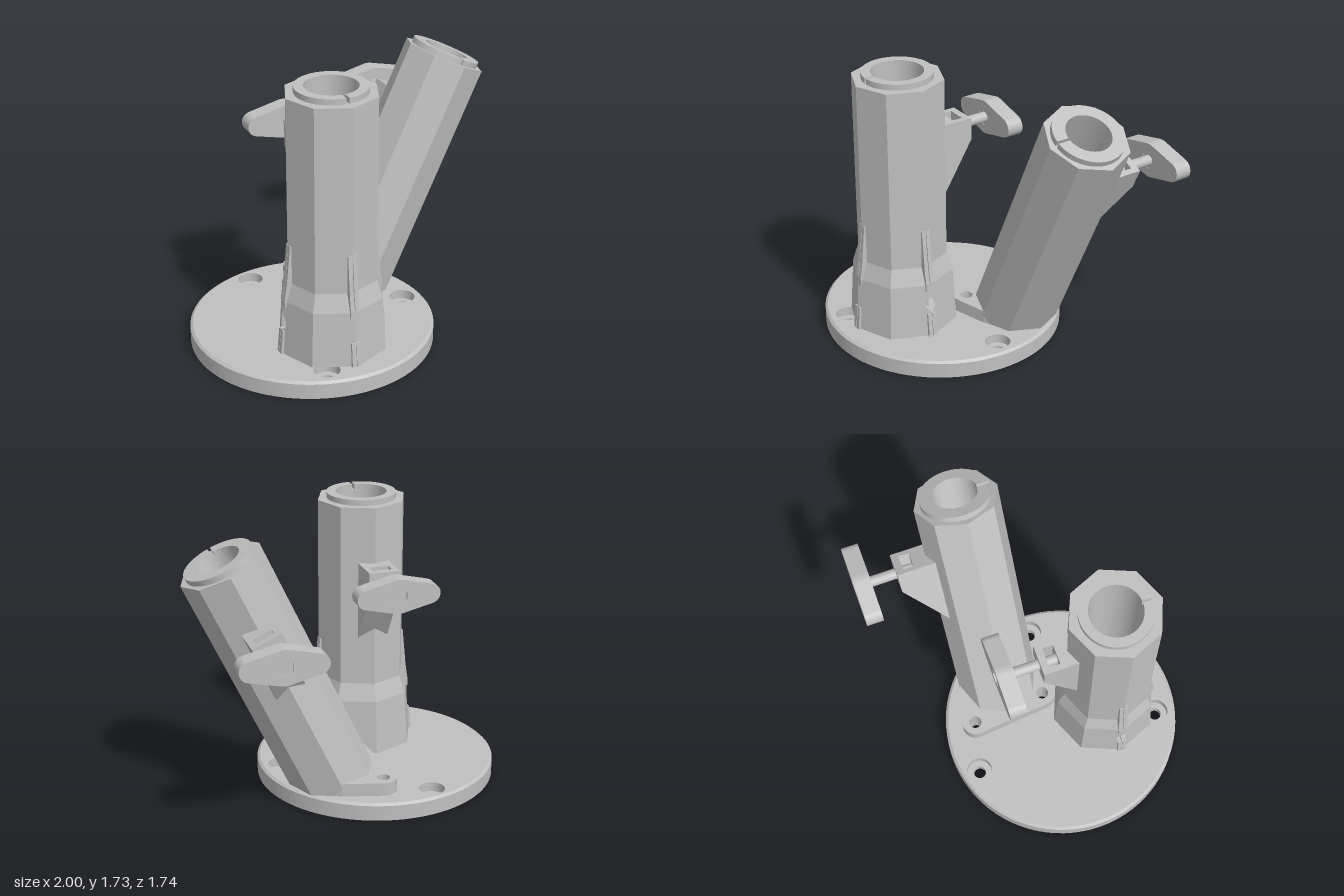
import * as THREE from 'three';

const TILT = THREE.MathUtils.degToRad(25);
const LEN = 1.582; // tube length above the base plate
const PI = Math.PI;

const plastic = new THREE.MeshStandardMaterial({ color: 0xc0c0c0, side: THREE.DoubleSide });
plastic.name = 'light grey plastic';

function add(parent, name, geometry) {
  const mesh = new THREE.Mesh(geometry, plastic);
  mesh.name = name;
  parent.add(mesh);
  return mesh;
}

function points(list) {
  return list.map(p => new THREE.Vector2(...p));
}

function circle(x, z, r) {
  return new THREE.Shape().absarc(x, z, r, 0, 2 * PI, false);
}

// Horizontal slab from an (x, z) outline, hanging down from y = top
function slab(shape, top, depth) {
  const g = new THREE.ExtrudeGeometry(shape, { depth, bevelEnabled: false, curveSegments: 40 });
  return g.rotateX(PI / 2).translate(0, top, 0);
}

// Slants the bottom rim (y = 0) so a tilted tube stands flat
function cutFoot(geometry, tilt) {
  const p = geometry.attributes.position;
  for (let i = 0; i < p.count; i++) {
    if (Math.abs(p.getY(i)) < 1e-5) p.setY(i, p.getX(i) * Math.tan(tilt));
  }
  geometry.computeVertexNormals();
  return geometry;
}

// One flat side of the octagon between two heights, optionally with half a drop cut from an edge
function panel(i, [r0, y0], [r1, y1], drop) {
  const half = [[0, 0.155], [0.09, 0.162], [0.15, 0.19], [0.13, 0.215], [0.06, 0.242], [0, 0.262]];
  const pts = [[0, y0], [1, y0]];
  if (drop && (i + 1) % 4 === 2) half.forEach(([u, y]) => pts.push([1 - u, y]));
  pts.push([1, y1], [0, y1]);
  if (drop && i % 4 === 2) [...half].reverse().forEach(p => pts.push(p));
  const g = new THREE.ShapeGeometry(new THREE.Shape(points(pts)));
  const a = i * PI / 4, b = a + PI / 4, pos = g.attributes.position;
  for (let k = 0; k < pos.count; k++) {
    const u = pos.getX(k), y = pos.getY(k);
    const r = r0 + (r1 - r0) * (y - y0) / (y1 - y0);
    pos.setXYZ(k, r * (Math.sin(a) * (1 - u) + Math.sin(b) * u), y,
      r * (Math.cos(a) * (1 - u) + Math.cos(b) * u));
  }
  g.computeVertexNormals();
  return g;
}

// Octagonal tube with a bore and a split collar on top
function tube(name, levels, bore, tilt, drop) {
  const group = new THREE.Group();
  group.name = name;
  for (let l = 0; l < levels.length - 1; l++) {
    for (let i = 0; i < 8; i++) {
      add(group, 'tubeSide', cutFoot(panel(i, levels[l], levels[l + 1], drop && l === 0), tilt));
    }
  }
  // Top face
  const R = levels[levels.length - 1][0];
  const octagon = new THREE.Shape(points(Array.from({ length: 8 }, (_, i) =>
    [R * Math.cos(i * PI / 4), R * Math.sin(i * PI / 4)])));
  octagon.holes.push(circle(0, 0, bore));
  add(group, 'tubeTop', slab(octagon, LEN, 0.01));
  // Collar, split towards +z
  const gap = 0.04;
  const collar = new THREE.Shape();
  collar.absarc(0, 0, 0.212, PI / 2 + gap, PI * 2.5 - gap, false);
  collar.absarc(0, 0, bore, PI * 2.5 - gap * 1.4, PI / 2 + gap * 1.4, true);
  add(group, 'splitCollar', slab(collar, LEN + 0.035, 0.035));
  // Bore wall, open at the sides where the drops pass through
  const low = drop ? 0.265 : 0;
  const wall = new THREE.CylinderGeometry(bore, bore, LEN - low, 40, 1, true).translate(0, (LEN + low) / 2, 0);
  add(group, 'bore', cutFoot(wall, tilt));
  if (drop) {
    for (const start of [-PI / 2, PI / 2]) {
      add(group, 'boreFoot', new THREE.CylinderGeometry(bore, bore, low, 20, 1, true, start + 0.24, PI - 0.48)
        .translate(0, low / 2, 0));
    }
  }
  return group;
}

// Clamp block with nut pocket, bolt and wing knob on the back of a tube
function clamp(tilt, wedgeDrop) {
  const group = new THREE.Group();
  group.name = 'clamp';
  group.position.y = 1.17;
  const top = new THREE.Shape(points([[-0.095, -0.2], [0.095, -0.2], [0.095, -0.448], [-0.095, -0.448]]));
  top.holes.push(new THREE.Path(points([[-0.06, -0.34], [0.06, -0.34], [0.06, -0.405], [-0.06, -0.405]])));
  add(group, 'clampBlock', slab(top, 0.067, 0.137));
  const wedge = new THREE.Shape(points([[0.2, -0.07], [0.448, -0.07], [0.2, -wedgeDrop]]));
  add(group, 'clampWedge', new THREE.ExtrudeGeometry(wedge, { depth: 0.19, bevelEnabled: false })
    .rotateY(PI / 2).translate(-0.095, 0, 0));
  add(group, 'bolt', new THREE.CylinderGeometry(0.032, 0.032, 0.4, 24).rotateX(PI / 2).translate(0, 0, -0.43));
  // Wing knob stays level, with a bolt head sunk in a hexagonal socket
  const f = 1.338, s = new THREE.Shape();
  s.absarc(0.195, 0, 0.06, -f, f, false);
  s.absarc(0, 0, 0.105, f, PI - f, false);
  s.absarc(-0.195, 0, 0.06, PI - f, PI + f, false);
  s.absarc(0, 0, 0.105, PI + f, 2 * PI - f, false);
  s.holes.push(new THREE.Path(points(Array.from({ length: 6 }, (_, i) =>
    [0.055 * Math.sin(i * PI / 3), 0.055 * Math.cos(i * PI / 3)]))));
  const knob = add(group, 'wingKnob', new THREE.ExtrudeGeometry(s, { depth: 0.103, bevelEnabled: false, curveSegments: 16 })
    .translate(0, 0, -0.708));
  knob.rotation.z = tilt;
  add(knob, 'boltHead', new THREE.CylinderGeometry(0.055, 0.055, 0.09, 6).rotateX(PI / 2).translate(0, 0, -0.653));
  return group;
}

// Pair of thin lips with a slit, running down a corner of the flared foot
function lips(angle) {
  const group = new THREE.Group();
  group.name = 'cornerLips';
  group.rotation.y = angle;
  const upper = [[0.2, 0.3], [0.312, 0.3], [0.312, 0.35], [0.297, 0.45], [0.274, 0.69], [0.2, 0.69]];
  const lower = [[0.2, 0], [0.34, 0], [0.327, 0.15], [0.2, 0.15]];
  for (const profile of [upper, lower]) {
    const shape = new THREE.Shape(points(profile));
    for (const z of [-0.027, 0.002]) {
      add(group, 'lip', new THREE.ExtrudeGeometry(shape, { depth: 0.025, bevelEnabled: false }).translate(0, 0, z));
    }
  }
  return group;
}

export function createModel() {
  const model = new THREE.Group();
  model.name = 'twoTubeHolder';
  const cx = -0.261, cz = 0.131, R = 0.738;
  const big = [[-0.418, -0.474], [0.352, 0.137], [-0.432, 0.718]];
  const small = [[-0.134, -0.402], [-0.093, 0.065]];

  // Round base with counterbored screw holes and a chamfered rim
  const base = new THREE.Group();
  base.name = 'base';
  model.add(base);
  const lower = circle(cx, cz, R), upper = circle(cx, cz, R - 0.016);
  for (const [x, z] of [...big, ...small]) lower.holes.push(circle(x, z, 0.038));
  for (const [x, z] of big) upper.holes.push(circle(x, z, 0.077));
  for (const [x, z] of small) upper.holes.push(circle(x, z, 0.038));
  add(base, 'baseLower', slab(lower, 0.05, 0.05));
  add(base, 'baseUpper', slab(upper, 0.108, 0.058));
  add(base, 'baseRim', new THREE.CylinderGeometry(R, R, 0.045, 80, 1, true).translate(cx, 0.0725, cz));
  add(base, 'baseChamfer', new THREE.CylinderGeometry(R - 0.016, R, 0.013, 80, 1, true).translate(cx, 0.1015, cz));

  // Upright tube with flared foot
  const upright = tube('uprightTube', [[0.335, 0], [0.312, 0.34], [0.276, 0.45], [0.276, LEN]], 0.155, 0, true);
  upright.position.set(cx, 0.108, 0.42);
  upright.add(clamp(0, 0.475));
  for (const angle of [0, PI, -PI / 2]) upright.add(lips(angle));
  model.add(upright);

  // Leaning tube
  const leaning = tube('leaningTube', [[0.254, 0], [0.254, LEN]], 0.135, TILT, false);
  leaning.position.set(0.1, 0.108, -0.164);
  leaning.rotation.z = -TILT;
  leaning.add(clamp(TILT, 0.42));
  model.add(leaning);

  // Screwed foot plate, ending inside the wall of the leaning tube
  const foot = new THREE.Shape(points([[0.27, -0.33], [0.13, -0.415]]));
  foot.absarc(-0.134, -0.402, 0.08, -1.32, -PI - 0.09, true);
  foot.absarc(-0.093, 0.065, 0.08, PI - 0.09, 1.32, true);
  foot.lineTo(0.13, 0.087);
  foot.lineTo(0.27, 0);
  for (const [x, z] of small) foot.holes.push(circle(x, z, 0.038));
  foot.holes.push(circle(0.12, -0.164, 0.135));
  add(model, 'footPlate', slab(foot, 0.19, 0.085));
  return model;
}
